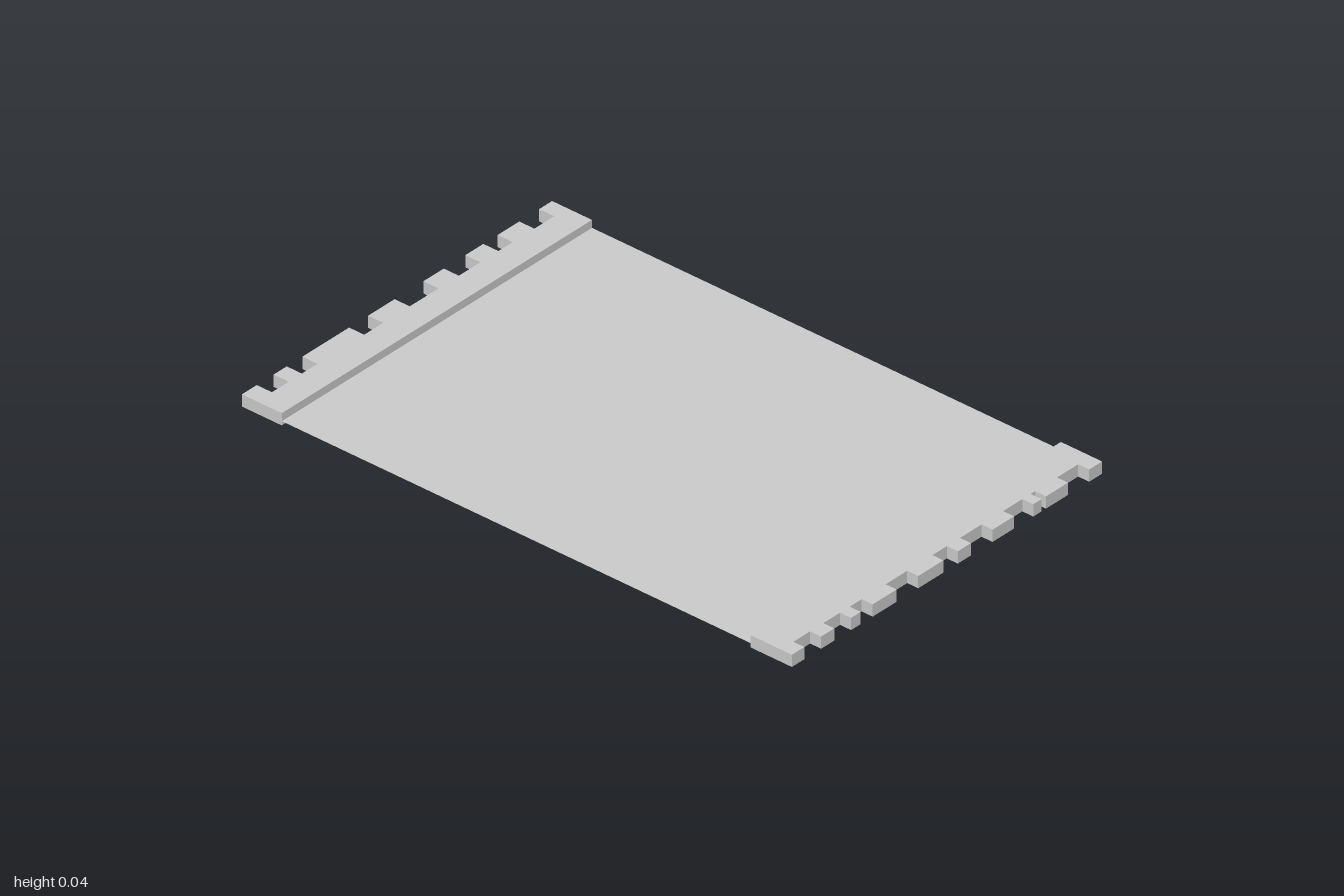
import * as THREE from 'three';
import { mergeGeometries } from 'three/addons/utils/BufferGeometryUtils.js';

const HEIGHT = 0.04, HALF_DEPTH = 0.647, SHEET_Y = 0.014;

// Flat cap from [x, z] points, facing up or down
function cap(points, y, up) {
  const shape = new THREE.Shape(points.map(([x, z]) => new THREE.Vector2(x, up ? -z : z)));
  const g = new THREE.ShapeGeometry(shape).toNonIndexed();
  g.deleteAttribute('uv');
  return g.rotateX(up ? -Math.PI / 2 : Math.PI / 2).translate(0, y, 0);
}

// Upright walls along a closed outline
function walls(points) {
  const v = [];
  points.forEach(([ax, az], i) => {
    const [bx, bz] = points[(i + 1) % points.length];
    v.push(ax, 0, az, bx, 0, bz, bx, HEIGHT, bz, ax, 0, az, bx, HEIGHT, bz, ax, HEIGHT, az);
  });
  const g = new THREE.BufferGeometry();
  g.setAttribute('position', new THREE.Float32BufferAttribute(v, 3));
  g.computeVertexNormals();
  return g;
}

// Toothed rail: notches are [front z, back z] pairs; underside ends at bottomEnd
function rail(side, inner, floor, notches, bottomEnd, material) {
  const pts = [[inner, HALF_DEPTH], [1, HALF_DEPTH]];
  for (const [a, b] of notches) pts.push([1, a], [floor, a], [floor, b], [1, b]);
  pts.push([1, -HALF_DEPTH], [inner, -HALF_DEPTH]);
  const bottom = pts.filter(([, z]) => z >= bottomEnd);
  if (bottom.length < pts.length) bottom.push([inner, bottomEnd]);
  const place = (list) => {
    const placed = list.map(([x, z]) => [x * side, z]);
    return side < 0 ? placed.reverse() : placed;
  };
  return new THREE.Mesh(mergeGeometries([
    cap(place(pts), HEIGHT, true), cap(place(bottom), 0, false), walls(place(pts)),
  ]), material);
}

export function createModel() {
  const group = new THREE.Group();
  const material = new THREE.MeshStandardMaterial({
    color: 0xcccccc, flatShading: true, side: THREE.DoubleSide,
  });

  // Left rail, open underneath at its back end
  const leftRail = rail(1, 0.85, 0.96, [
    [0.595, 0.525], [0.47, 0.4], [0.36, 0.31], [0.21, 0.12], [0.015, -0.045],
    [-0.1, -0.19], [-0.28, -0.36], [-0.395, -0.413], [-0.505, -0.593],
  ], -0.395, material);
  leftRail.name = 'leftToothedRail';

  // Right rail
  const rightRail = rail(-1, 0.855, 0.945, [
    [0.585, 0.515], [0.46, 0.395], [0.2, 0.12], [0.01, -0.11],
    [-0.195, -0.285], [-0.36, -0.42], [-0.51, -0.593],
  ], -HALF_DEPTH, material);
  rightRail.name = 'rightToothedRail';

  // Thin sheet stretched between the rails
  const sheet = new THREE.Mesh(
    new THREE.PlaneGeometry(1.705, 2 * HALF_DEPTH).rotateX(-Math.PI / 2), material);
  sheet.position.set(-0.0025, SHEET_Y, 0);
  sheet.name = 'sheet';

  group.add(leftRail, rightRail, sheet);
  return group;
}
